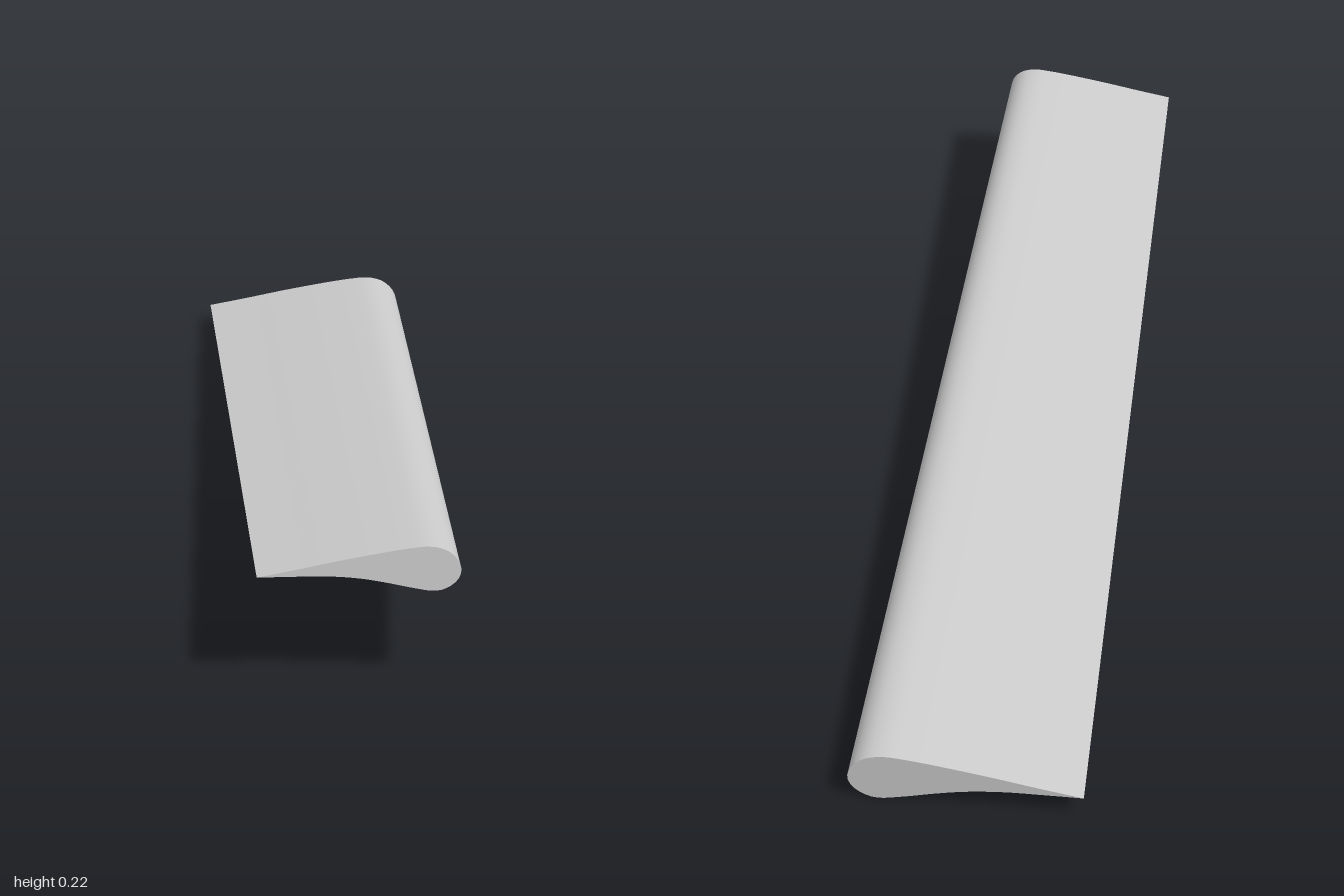
import * as THREE from 'three';

// Aerofoil section: chord fraction from the trailing edge, height at the root
const SECTION = [
  [0, 0], [0.18, 0.013], [0.4, 0.03], [0.62, 0.045], [0.763, 0.053], [0.842, 0.055],
  [0.921, 0.048], [0.978, 0.029], [1, 0.005], [0.995, -0.004], [0.974, -0.018], [0.921, -0.032],
  [0.869, -0.036], [0.764, -0.029], [0.634, -0.017], [0.503, -0.007], [0.346, -0.001],
  [0.17, 0], [0, 0],
];
const STEPS = 80;
const SLOPE = 0.07; // rise along the span; ends are cut square to it

// Smooth outline, with chord scaled so the spacing is in model units
function outline() {
  const pts = SECTION.map(([u, v]) => new THREE.Vector3(u * 0.382, v, 0));
  return new THREE.CatmullRomCurve3(pts, false, 'centripetal').getSpacedPoints(STEPS)
    .map((p) => [p.x / 0.382, p.y]);
}

// One end section placed in space
function station(points, { x, y, chord, thickness, twist, z, pivot }) {
  return points.map(([u, v]) => {
    const py = y + v * thickness + u * twist;
    return new THREE.Vector3(x + u * chord, py, z - (py - pivot) * SLOPE);
  });
}

function geometryFrom(vertices, index) {
  const g = new THREE.BufferGeometry().setFromPoints(vertices);
  g.setIndex(index);
  g.computeVertexNormals();
  return g;
}

// Skin between the two sections
function skinGeometry(back, front) {
  const n = back.length;
  const index = [];
  for (let i = 0; i < n - 1; i++) {
    index.push(i, i + n, i + 1, i + 1, i + n, i + 1 + n);
  }
  return geometryFrom([...back, ...front], index);
}

// Flat cap, filled in strips between upper and lower outline
function capGeometry(points, facesFront) {
  const n = points.length - 1;
  const index = [];
  for (let i = 0; i < n / 2; i++) {
    const quad = [n - i, n - i - 1, i + 1, i];
    if (!facesFront) quad.reverse();
    const [a, b, c, d] = quad;
    index.push(a, b, c, a, c, d);
  }
  const flat = geometryFrom(points, index).toNonIndexed();
  const normal = new THREE.Vector3(0, SLOPE, 1).normalize().multiplyScalar(facesFront ? 1 : -1);
  const normals = flat.attributes.normal;
  for (let i = 0; i < normals.count; i++) normals.setXYZ(i, normal.x, normal.y, normal.z);
  return flat;
}

export function createModel() {
  const group = new THREE.Group();
  group.name = 'wing';
  const material = new THREE.MeshStandardMaterial({ color: 0xcccccc });
  const add = (name, geometry) => {
    const mesh = new THREE.Mesh(geometry, material);
    mesh.name = name;
    group.add(mesh);
  };

  const points = outline();
  // Wide low root at the back, narrow raised tip at the front
  const root = station(points, { x: -0.192, y: 0.036, chord: 0.382, thickness: 1, twist: 0, z: -1, pivot: 0.091 });
  const tip = station(points, { x: -0.127, y: 0.175, chord: 0.317, thickness: 0.78, twist: 0.0046, z: 1, pivot: 0.151 });

  add('wingSkin', skinGeometry(root, tip));
  add('rootCap', capGeometry(root, false));
  add('tipCap', capGeometry(tip, true));
  return group;
}
